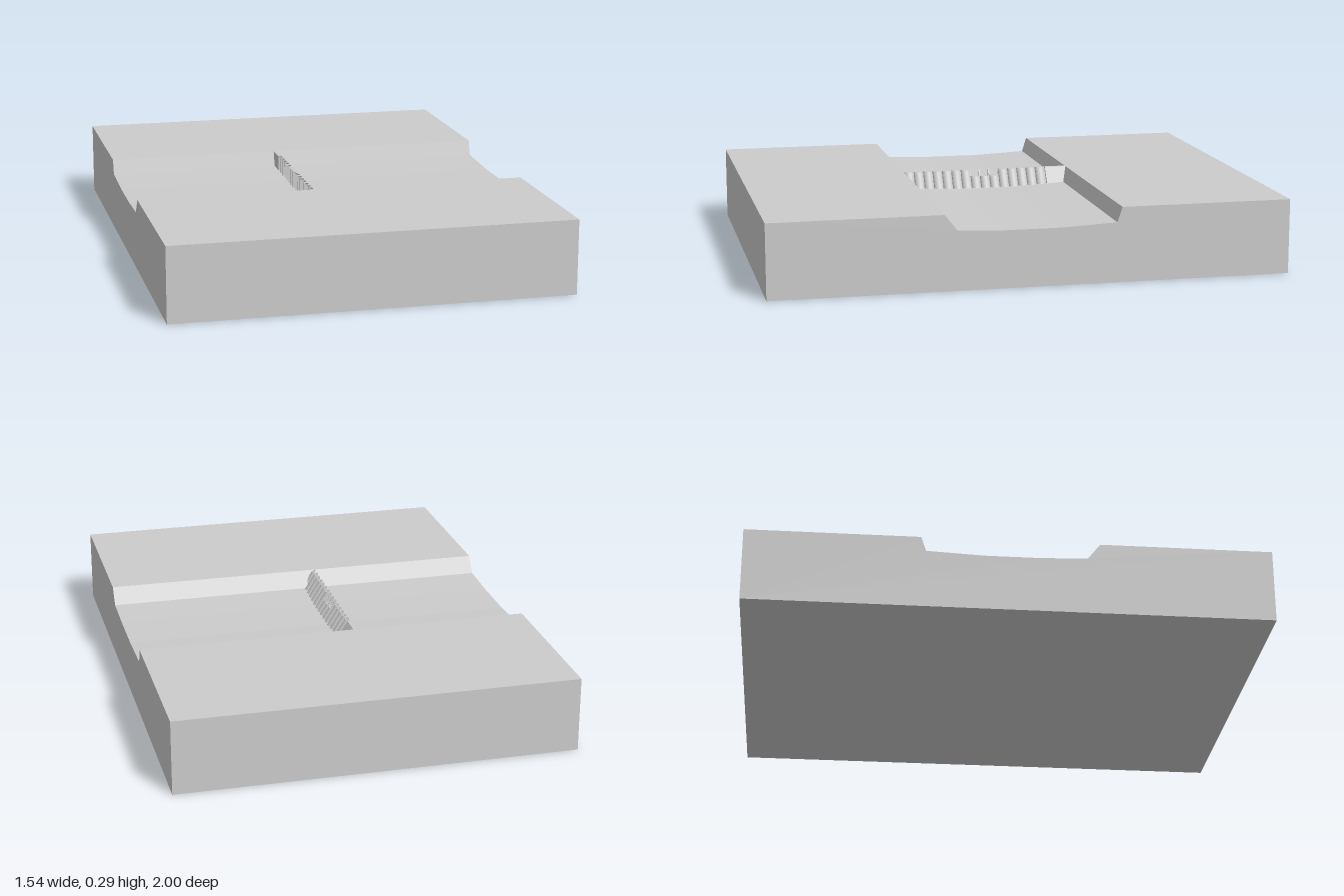
import * as THREE from 'three';

const TOP = 0.289, BASE = 0.2, PITCH = 0.039, BAYS = 15, FIRST = -0.247;
const LEAN = 0.64; // upstream face: horizontal run per unit of height

const material = new THREE.MeshStandardMaterial({ color: 0xcccccc, flatShading: true, side: THREE.DoubleSide });

function addMesh(group, name, geometry) {
  const mesh = new THREE.Mesh(geometry, material);
  mesh.name = name;
  group.add(mesh);
}

// Extrude a (z, y) outline along x, or an (x, y) outline along z
function prism(points, depth) {
  const shape = new THREE.Shape(points.map(([a, b]) => new THREE.Vector2(a, b)));
  return new THREE.ExtrudeGeometry(shape, { depth, bevelEnabled: false });
}

// Thin half-round arch standing upright and leaning downstream
function leaningArch(z, height) {
  const outer = PITCH / 2, inner = outer - 0.005;
  const shape = new THREE.Shape();
  shape.moveTo(outer, 0);
  shape.absarc(0, 0, outer, 0, Math.PI, false);
  shape.lineTo(-inner, 0);
  shape.absarc(0, 0, inner, Math.PI, 0, true);
  const geometry = new THREE.ExtrudeGeometry(shape, { depth: height, bevelEnabled: false, curveSegments: 10 });
  const p = geometry.attributes.position;
  for (let i = 0; i < p.count; i++) {
    const along = p.getX(i), out = p.getY(i), up = p.getZ(i);
    p.setXYZ(i, -0.033 + out - LEAN * up, BASE + up, z + along);
  }
  geometry.computeVertexNormals();
  return geometry;
}

export function createModel() {
  const group = new THREE.Group();

  // Ground block with a shallow river channel across it
  const ground = prism([
    [-1, 0], [1, 0], [1, TOP], [0.34, TOP], [0.292, 0.228],
    [0.12, 0.221], [-0.1, 0.221], [-0.318, 0.231], [-0.337, TOP], [-1, TOP],
  ], 1.54);
  ground.rotateY(-Math.PI / 2).translate(0.77, 0, 0);
  addMesh(group, 'terrain', ground);

  const dam = new THREE.Group();
  dam.name = 'dam';
  group.add(dam);

  // Row of arches, with three lower ones forming the spillway
  for (let i = 0; i < BAYS; i++) {
    const z = FIRST + (i + 0.5) * PITCH;
    const spillway = i >= 5 && i <= 7;
    addMesh(dam, spillway ? 'spillwayArch' : 'arch', leaningArch(z, (spillway ? 0.265 : TOP) - BASE));
  }

  // Triangular buttress under each joint between arches
  for (let i = 0; i <= BAYS; i++) {
    const buttress = prism([[-0.09, BASE], [-0.033, BASE], [-0.087, TOP], [-0.09, TOP]], 0.005);
    buttress.translate(0, 0, FIRST + i * PITCH - 0.0025);
    addMesh(dam, 'buttress', buttress);
  }

  // Solid end section against the far bank
  const abutment = prism([[-0.09, BASE], [-0.015, BASE], [-0.075, TOP], [-0.09, TOP]], 0.088);
  abutment.translate(0, 0, -0.337);
  addMesh(dam, 'abutment', abutment);

  return group;
}
